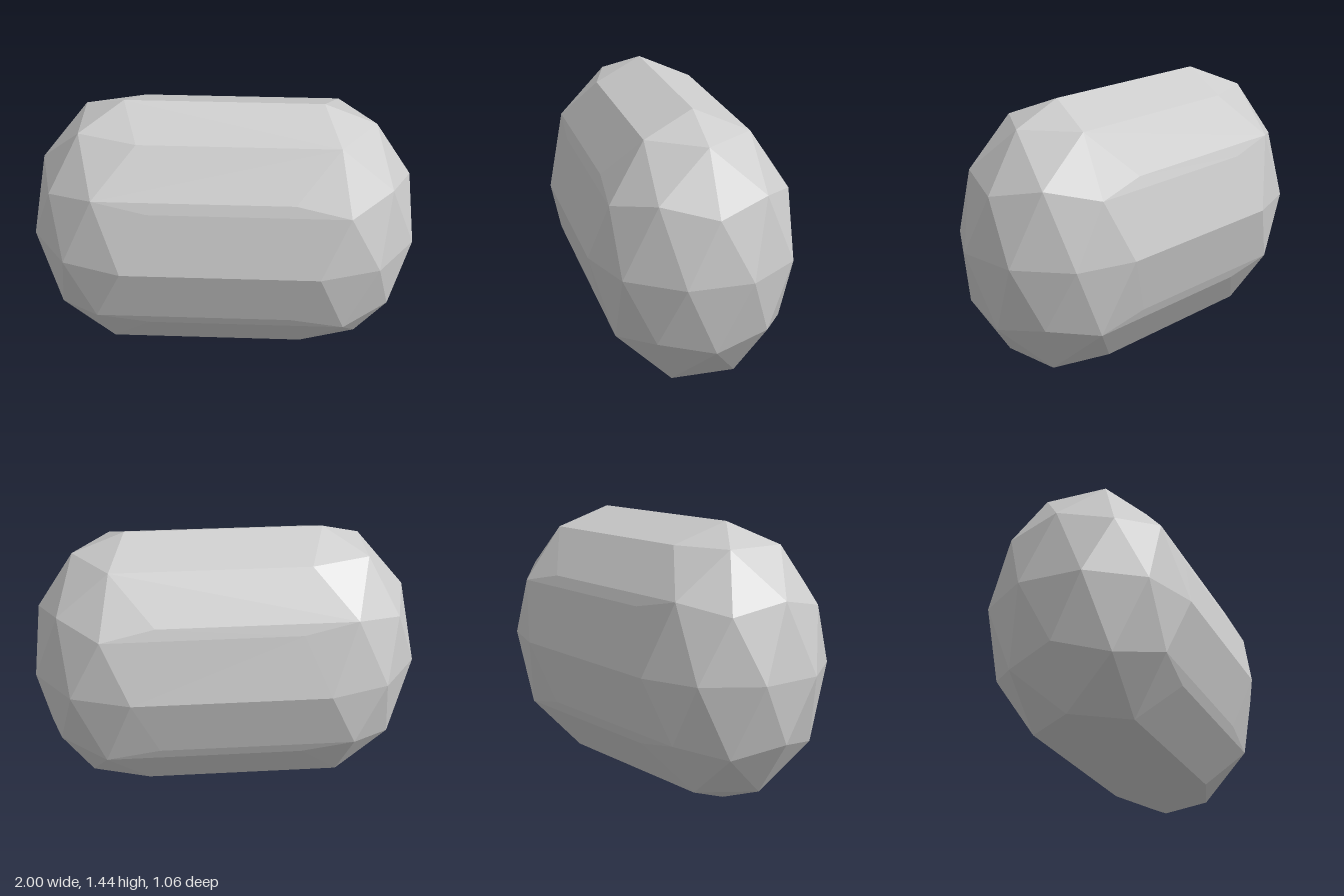
import * as THREE from 'three';
import { ConvexGeometry } from 'three/addons/geometries/ConvexGeometry.js';

const RADIUS = new THREE.Vector3(0.515, 0.72, 0.53); // radii of the rounded ends
const HALF_SPAN = 0.51; // half the straight middle section

// Unit faceted ball: rings of points around the y axis, 42 in total
function ballPoints() {
  const points = [new THREE.Vector3(0, 1, 0), new THREE.Vector3(0, -1, 0)];
  const at = (y, degrees) => {
    const a = THREE.MathUtils.degToRad(degrees);
    const r = Math.sqrt(1 - y * y);
    return new THREE.Vector3(r * Math.cos(a), y, r * Math.sin(a));
  };
  const rings = [[0.85065, 0], [0.52573, 36], [0.44721, 0]]; // height, first angle
  for (const [y, start] of rings) {
    for (let i = 0; i < 5; i++) {
      const p = at(y, start + i * 72);
      points.push(p, p.clone().negate()); // upper point and its opposite
    }
  }
  for (let i = 0; i < 10; i++) points.push(at(0, 18 + i * 36)); // equator
  return points;
}

export function createModel() {
  const group = new THREE.Group();
  group.name = 'facetedCapsule';

  const stone = new THREE.MeshStandardMaterial({ color: 0xcccccc });
  stone.name = 'light grey';

  // Wrap one faceted hull around a ball at each end
  const hull = [];
  for (const side of [-1, 1]) {
    for (const p of ballPoints()) {
      const q = p.multiply(RADIUS);
      hull.push(q.add(new THREE.Vector3(side * HALF_SPAN, RADIUS.y, 0)));
    }
  }
  const body = new THREE.Mesh(new ConvexGeometry(hull), stone);
  body.name = 'body';
  group.add(body);
  return group;
}
